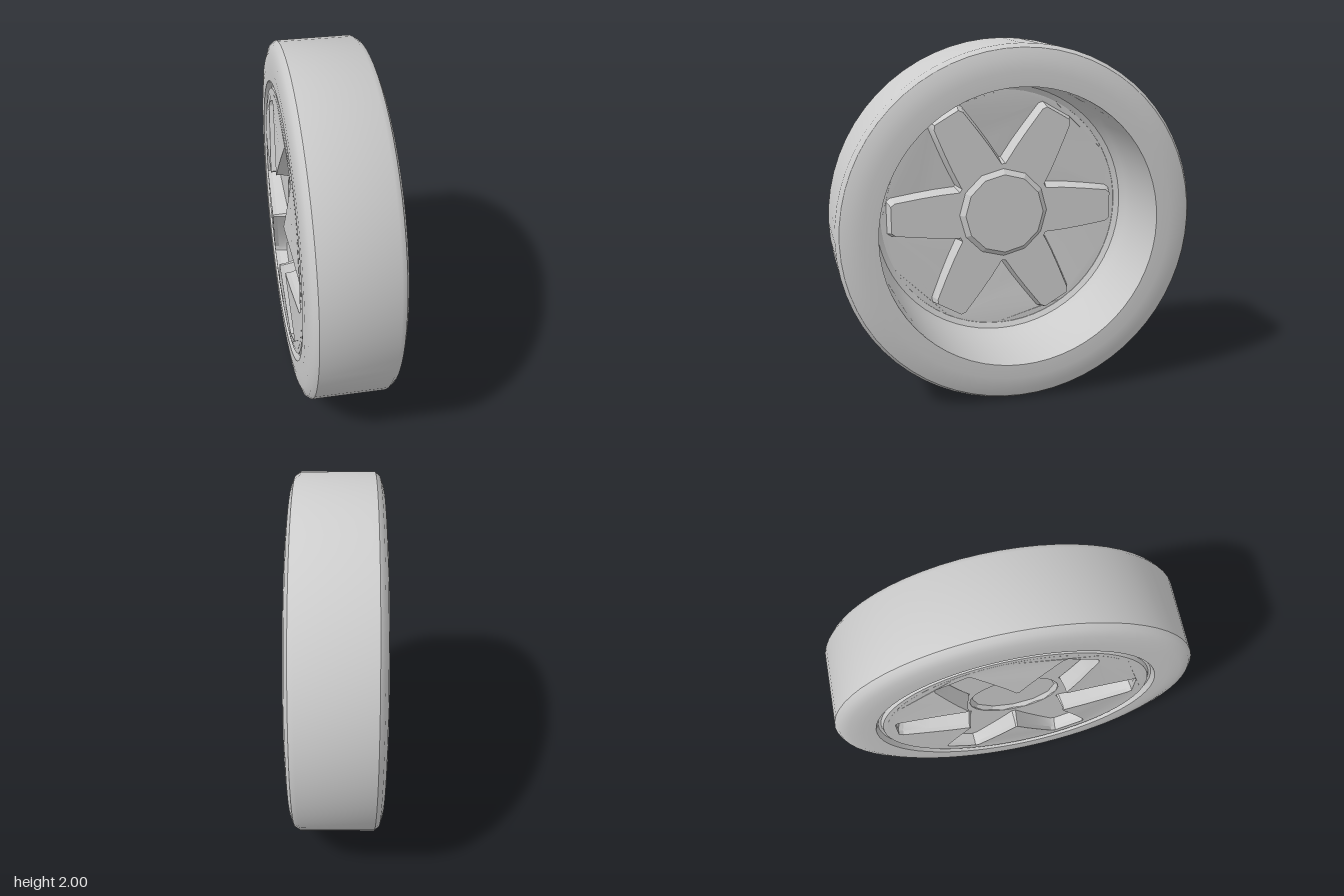
import * as THREE from 'three';
import { toCreasedNormals } from 'three/addons/utils/BufferGeometryUtils.js';

const V2 = (x, y) => new THREE.Vector2(x, y);

// Six-petal star outline, shrunk by g
function starPoints(g) {
  const half = [[0.275, -0.152], [0.39, -0.145], [0.5, -0.133], [0.65, -0.113], [0.674, -0.095]];
  const petal = [...half, ...half.map(([r, w]) => [r, -w]).reverse()];
  const pts = [];
  for (let k = 0; k < 6; k++) {
    const a = k * Math.PI / 3, c = Math.cos(a), s = Math.sin(a);
    for (const [r, w] of petal) {
      const x = r - g, y = w - Math.sign(w) * g;
      pts.push(V2(x * c - y * s, x * s + y * c));
    }
  }
  return pts;
}

// Pressed disc rises towards the middle
const dome = (r) => (0.72 - r) * 0.06;

// Turned part about the z axis from a (radius, z) profile
function turned(profile, segments, crease) {
  const geo = new THREE.LatheGeometry(profile.map(([r, z]) => V2(r, z)), segments);
  geo.rotateX(Math.PI / 2);
  return toCreasedNormals(geo, crease);
}

export function createModel() {
  const model = new THREE.Group();
  const wheel = new THREE.Group();
  wheel.name = 'wheel';
  const mat = new THREE.MeshStandardMaterial({ color: 0xcccccc });
  const thin = new THREE.MeshStandardMaterial({ color: 0xcccccc, side: THREE.DoubleSide });
  const add = (name, geo, material = mat) => {
    const mesh = new THREE.Mesh(geo, material);
    mesh.name = name;
    wheel.add(mesh);
  };

  // Tyre with deep barrel, groove and seat for the disc
  add('tyreAndRim', turned([
    [0.78, -0.26], [0.86, -0.26], [0.93, -0.25], [0.98, -0.23], [1, -0.2],
    [1, 0.2], [0.98, 0.225], [0.93, 0.242], [0.86, 0.25], [0.785, 0.25],
    [0.77, 0.222], [0.755, 0.222], [0.745, 0.243], [0.71, 0.245],
    [0.71, 0.216], [0.74, 0.2], [0.765, 0.15], [0.78, 0.07], [0.78, -0.26],
  ], 64, 0.6));

  // Domed disc with a star opening
  const plateShape = new THREE.Shape().absarc(0, 0, 0.72, 0, Math.PI * 2);
  plateShape.holes.push(new THREE.Path(starPoints(0)));
  const plate = new THREE.ExtrudeGeometry(plateShape, { depth: 0.025, bevelEnabled: false, curveSegments: 36 });
  plate.translate(0, 0, 0.22);
  const p = plate.attributes.position;
  for (let i = 0; i < p.count; i++) p.setZ(i, p.getZ(i) + dome(Math.hypot(p.getX(i), p.getY(i))));
  plate.computeVertexNormals();
  add('disc', toCreasedNormals(plate, 0.5));

  // Drafted wall joining the disc to the sunken star
  const outer = starPoints(0), inner = starPoints(0.017);
  const pos = [], index = [], n = outer.length;
  for (let i = 0; i < n; i++) {
    pos.push(outer[i].x, outer[i].y, 0.22 + dome(outer[i].length()));
    pos.push(inner[i].x, inner[i].y, 0.15);
    const a = 2 * i, b = 2 * ((i + 1) % n);
    index.push(a, a + 1, b, b, a + 1, b + 1);
  }
  const wall = new THREE.BufferGeometry();
  wall.setAttribute('position', new THREE.Float32BufferAttribute(pos, 3));
  wall.setIndex(index);
  wall.computeVertexNormals();
  add('starWall', toCreasedNormals(wall, 0.5), thin);

  // Sunken star floor forming the spokes
  const floorShape = new THREE.Shape(inner);
  floorShape.holes.push(new THREE.Path().absarc(0, 0, 0.252, 0, Math.PI * 2, true));
  const floor = new THREE.ExtrudeGeometry(floorShape, { depth: 0.025, bevelEnabled: false });
  floor.translate(0, 0, 0.15);
  add('spokes', floor);

  // Twelve-sided dished hub
  add('hub', turned([
    [0, 0.12], [0.232, 0.12], [0.262, 0.15], [0.262, 0.175], [0.235, 0.152], [0, 0.152],
  ], 12, 0.3));

  // Outer face points to the model's right
  wheel.rotation.y = -Math.PI / 2;
  wheel.position.y = 1;
  model.add(wheel);
  return model;
}
